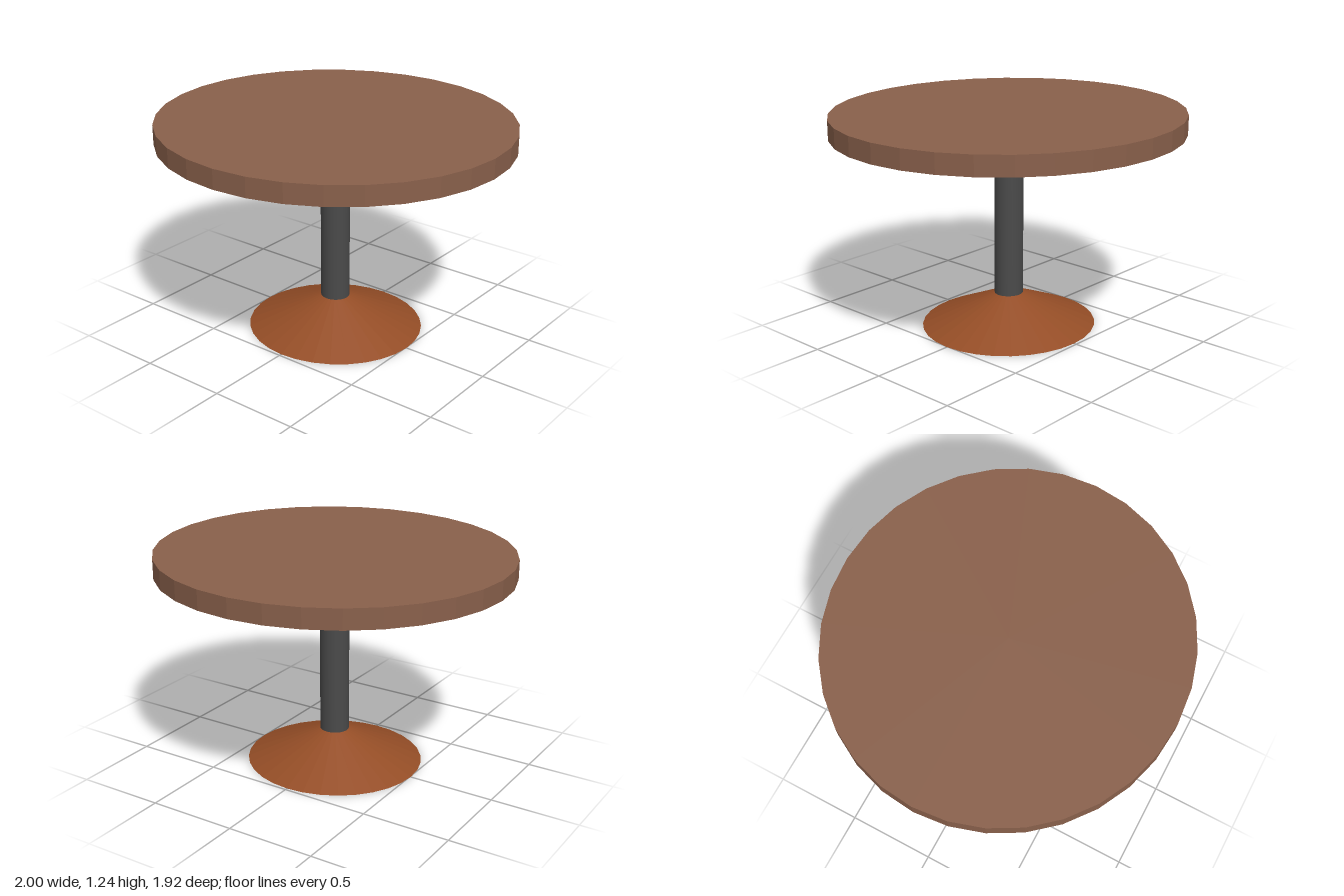
import * as THREE from 'three';

const SIDES = 32;
const DEPTH = 0.96; // the round parts are slightly narrower front to back

// Profile points run from bottom to top as [radius, height]
function turned(name, profile, material) {
  const points = profile.map(([r, y]) => new THREE.Vector2(r, y));
  const geometry = new THREE.LatheGeometry(points, SIDES);
  geometry.scale(1, 1, DEPTH);
  const mesh = new THREE.Mesh(geometry, material);
  mesh.name = name;
  return mesh;
}

export function createModel() {
  const wood = new THREE.MeshStandardMaterial({ color: 0x89604b, flatShading: true });
  wood.name = 'brown wood';
  const rust = new THREE.MeshStandardMaterial({ color: 0x944d26, flatShading: true, side: THREE.DoubleSide });
  rust.name = 'orange brown';
  const metal = new THREE.MeshStandardMaterial({ color: 0x4a4a4a });
  metal.name = 'dark grey metal';

  const table = new THREE.Group();
  table.name = 'roundTable';

  // Hollow conical foot, open underneath
  table.add(turned('base', [[0.505, 0], [0.083, 0.183]], rust));

  // Pole, its lower end closing the top of the foot
  const poleGeometry = new THREE.CylinderGeometry(0.083, 0.083, 0.721, SIDES);
  poleGeometry.scale(1, 1, DEPTH);
  const pole = new THREE.Mesh(poleGeometry, metal);
  pole.name = 'pole';
  pole.position.y = 0.183 + 0.721 / 2;
  table.add(pole);

  // Flared collar, sloping underside, rim and flat top
  table.add(turned('collar', [[0.083, 0.904], [0.257, 1.013]], wood));
  table.add(turned('tabletop', [[0.257, 1.013], [1, 1.128], [1, 1.238], [0, 1.238]], wood));

  return table;
}
